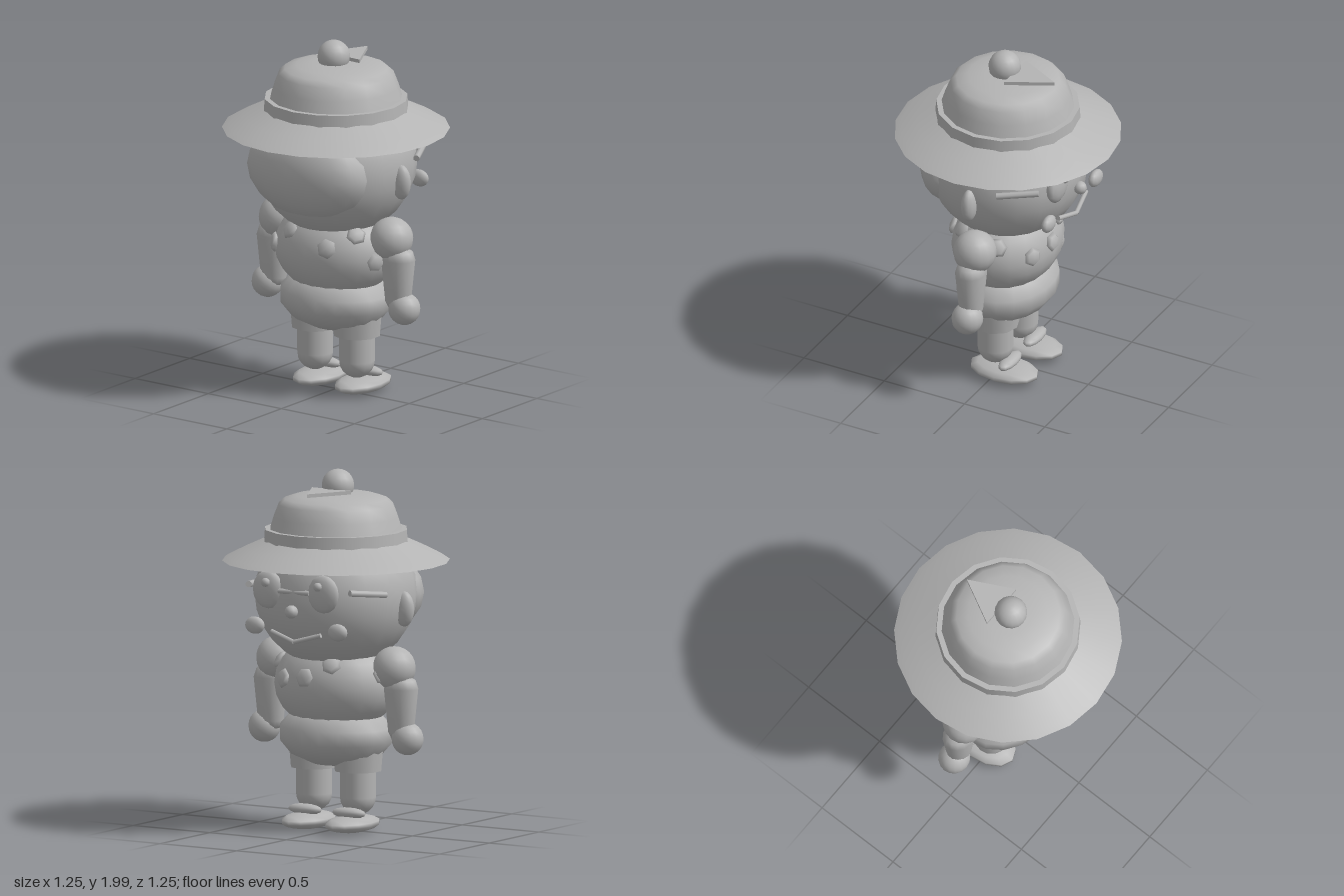
import * as THREE from 'three';

export function createModel() {
  const root = new THREE.Group();
  const grey = new THREE.MeshStandardMaterial({ color: 0xb4b4b4 });
  grey.name = 'plain grey';
  grey.side = THREE.DoubleSide;

  const add = (name, geometry, x = 0, y = 0, z = 0) => {
    const mesh = new THREE.Mesh(geometry, grey);
    mesh.name = name;
    mesh.position.set(x, y, z);
    root.add(mesh);
    return mesh;
  };
  const ball = (name, [x, y, z], [rx, ry, rz], w = 16, h = 12) => {
    const mesh = add(name, new THREE.SphereGeometry(1, w, h), x, y, z);
    mesh.scale.set(rx, ry, rz);
    return mesh;
  };
  const lathe = (name, points, segments) =>
    add(name, new THREE.LatheGeometry(points.map(p => new THREE.Vector2(...p)), segments));
  const bar = (name, a, b, r) => {
    const from = new THREE.Vector3(...a), to = new THREE.Vector3(...b);
    const dir = to.clone().sub(from);
    const mesh = add(name, new THREE.CylinderGeometry(r, r, dir.length(), 8));
    mesh.position.copy(from).add(to).multiplyScalar(0.5);
    mesh.quaternion.setFromUnitVectors(new THREE.Vector3(0, 1, 0), dir.normalize());
  };

  // Hat: brim, band, crown, knob and flat pointer
  lathe('hatBrim', [[0.625, 1.5], [0.59, 1.52], [0.5, 1.565], [0.39, 1.615]], 20);
  add('hatBand', new THREE.CylinderGeometry(0.395, 0.4, 0.07, 16), 0, 1.64, 0);
  lathe('hatCrown', [[0.37, 1.66], [0.345, 1.74], [0.318, 1.81], [0.285, 1.84],
    [0.22, 1.86], [0.13, 1.873], [0, 1.877]], 16);
  ball('hatKnob', [0, 1.91, 0.02], [0.09, 0.09, 0.09]);
  const triangle = new THREE.Shape([[-0.127, 0.045], [0.127, 0.045], [0, 0.29]]
    .map(p => new THREE.Vector2(...p)));
  const pointer = add('hatPointer',
    new THREE.ExtrudeGeometry(triangle, { depth: 0.02, bevelEnabled: false }), 0, 1.876, 0);
  pointer.rotation.x = -Math.PI / 2;

  // Head with hair at the +z side
  ball('head', [0, 1.32, 0], [0.45, 0.42, 0.44], 20, 14);
  ball('hair', [0, 1.31, 0.25], [0.39, 0.265, 0.215], 16, 10);

  // Face on the -z side
  ball('nose', [0, 1.265, -0.45], [0.037, 0.037, 0.037], 10, 8);
  bar('glassesBridge', [-0.1, 1.37, -0.42], [0.1, 1.37, -0.42], 0.015);

  // Torso and hips
  ball('torso', [0, 0.82, 0], [0.36, 0.27, 0.295], 20, 12);
  ball('hips', [0, 0.54, 0], [0.335, 0.182, 0.275], 18, 7);

  // Small six-sided studs over the torso: x, y, z
  const studs = [[-0.14, 0.95, 0.24], [0.135, 0.89, 0.27], [-0.285, 0.84, 0.18], [0.25, 0.96, 0.15],
    [0.33, 0.81, 0.09], [0.31, 0.94, -0.1], [0.18, 0.86, -0.25], [0.02, 0.88, -0.29],
    [-0.12, 0.95, -0.23], [-0.31, 0.89, -0.06]];
  for (const [x, y, z] of studs) {
    const p = new THREE.Vector3(x / 0.36, (y - 0.82) / 0.27, z / 0.295).normalize();
    const normal = new THREE.Vector3(p.x / 0.36, p.y / 0.27, p.z / 0.295).normalize();
    const stud = ball('stud', [p.x * 0.36, 0.82 + p.y * 0.27, p.z * 0.295], [0.056, 0.025, 0.056], 6, 4);
    stud.quaternion.setFromUnitVectors(new THREE.Vector3(0, 1, 0), normal);
  }

  // Mirrored parts
  for (const s of [-1, 1]) {
    const side = s > 0 ? 'left' : 'right';
    ball(side + 'Ear', [s * 0.445, 1.262, 0], [0.06, 0.098, 0.042], 12, 10);
    ball(side + 'Lens', [s * 0.18, 1.37, -0.405], [0.1, 0.105, 0.042], 12, 8);
    ball(side + 'Pupil', [s * 0.17, 1.415, -0.448], [0.027, 0.025, 0.022], 8, 6);
    bar(side + 'GlassesArm', [s * 0.43, 1.358, -0.16], [s * 0.33, 1.383, -0.37], 0.018);
    ball(side + 'Cheek', [s * 0.27, 1.165, -0.4], [0.062, 0.048, 0.032], 12, 8);
    bar(side + 'Mouth', [s * 0.16, 1.14, -0.4], [0, 1.095, -0.425], 0.013);

    // Arm
    ball(side + 'Shoulder', [s * 0.38, 0.93, 0], [0.12, 0.12, 0.12]);
    const arm = lathe(side + 'Arm', [[0, 0.52], [0.055, 0.54], [0.075, 0.58], [0.1, 0.82],
      [0.085, 0.865], [0.05, 0.89], [0, 0.9]], 14);
    arm.position.x = s * 0.425;
    arm.scale.z = 0.85;
    ball(side + 'Hand', [s * 0.467, 0.545, 0], [0.09, 0.09, 0.087]);

    // Leg and shoe
    add(side + 'ShortsLeg', new THREE.CylinderGeometry(0.145, 0.132, 0.15, 10), s * 0.143, 0.42, 0);
    add(side + 'Leg', new THREE.CapsuleGeometry(0.1, 0.2, 5, 14), s * 0.143, 0.3, 0);
    ball(side + 'Shoe', [s * 0.143, 0.058, -0.055], [0.127, 0.048, 0.207], 12, 7);
    ball(side + 'ShoeStrap', [s * 0.143, 0.12, -0.09], [0.108, 0.03, 0.045], 12, 8);
  }
  return root;
}
